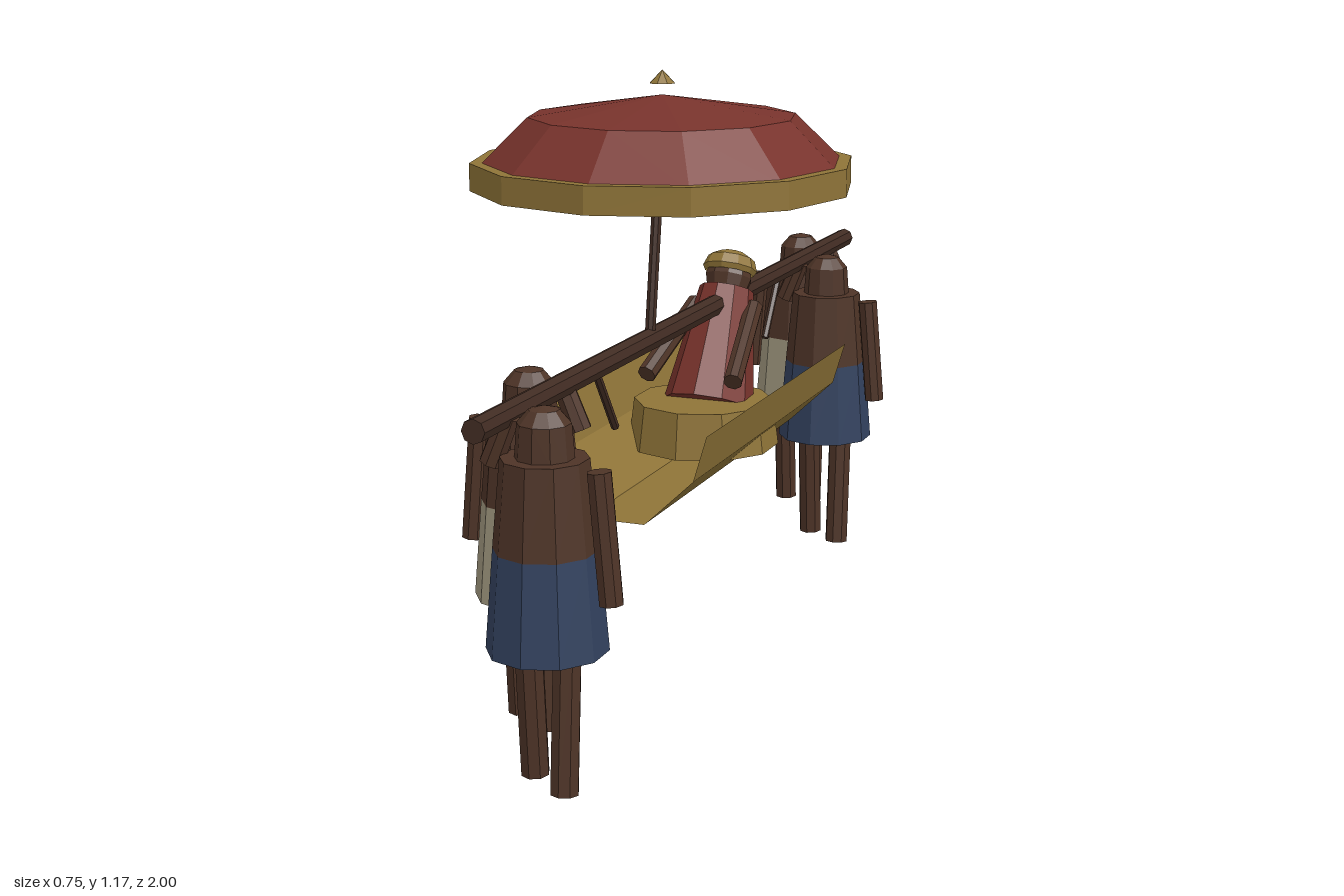
import * as THREE from 'three';

const mat = (color) => new THREE.MeshStandardMaterial({ color, flatShading: true, side: THREE.DoubleSide });
const skin = mat(0x4e3427), wood = mat(0x412c23), red = mat(0x78332c), gold = mat(0x8f7438);
const blue = mat(0x33425f), beige = mat(0xa0977f);

function add(parent, name, geometry, material, x = 0, y = 0, z = 0) {
  const mesh = new THREE.Mesh(geometry, material);
  mesh.name = name;
  mesh.position.set(x, y, z);
  parent.add(mesh);
  return mesh;
}

// Tapered rod between two points
function rod(parent, name, from, to, r0, r1, sides, material) {
  const a = new THREE.Vector3(...from), b = new THREE.Vector3(...to);
  const dir = b.clone().sub(a);
  const mesh = add(parent, name, new THREE.CylinderGeometry(r1, r0, dir.length(), sides), material);
  mesh.position.copy(a).add(b).multiplyScalar(0.5);
  mesh.quaternion.setFromUnitVectors(new THREE.Vector3(0, 1, 0), dir.normalize());
  return mesh;
}

const lathe = (points, sides) =>
  new THREE.LatheGeometry(points.map(([r, y]) => new THREE.Vector2(r, y)), sides);

// Bearer; side is +1 or -1, the direction of the outer arm
function bearer(side, cloth) {
  const g = new THREE.Group();
  g.name = 'bearer';
  add(g, 'torso', new THREE.CylinderGeometry(0.077, 0.092, 0.16, 10), skin, 0, 0.51, 0);
  add(g, 'wrapSkirt', new THREE.CylinderGeometry(0.092, 0.107, 0.18, 10), cloth, 0, 0.34, 0);
  add(g, 'head', lathe([[0.052, 0.585], [0.047, 0.65], [0.027, 0.673], [0, 0.68]], 10), skin);
  for (const s of [-1, 1]) {
    rod(g, 'leg', [s * 0.042, 0.003, s * 0.03], [s * 0.042, 0.27, s * 0.01], 0.026, 0.026, 8, skin);
  }
  rod(g, 'hangingArm', [side * 0.12, 0.345, 0], [side * 0.1, 0.575, 0], 0.022, 0.022, 8, skin);
  rod(g, 'raisedArm', [-side * 0.1, 0.57, 0], [-side * 0.065, 0.655, 0], 0.022, 0.02, 8, skin);
  return g;
}

// Open trough: the cross-section is swept along z
function hammockGeometry() {
  const half = [[0.187, 0.52], [0.16, 0.43], [0.06, 0.335]];
  const profile = [...half, ...half.map(([x, y]) => [-x, y]).reverse()];
  const pos = [], index = [];
  profile.forEach(([x, y], i) => {
    pos.push(x, y, 0.425, x, y, -0.425);
    if (i) {
      const a = 2 * (i - 1);
      index.push(a, a + 2, a + 1, a + 1, a + 2, a + 3);
    }
  });
  const geo = new THREE.BufferGeometry();
  geo.setAttribute('position', new THREE.Float32BufferAttribute(pos, 3));
  geo.setIndex(index);
  geo.computeVertexNormals();
  return geo;
}

function passenger() {
  const g = new THREE.Group();
  g.name = 'passenger';
  add(g, 'lapCushion', new THREE.CylinderGeometry(0.145, 0.157, 0.095, 10), gold, 0, 0.422, -0.04);

  // Upper body leans back
  const upper = new THREE.Group();
  upper.name = 'upperBody';
  upper.position.set(0, 0.45, -0.07);
  upper.rotation.x = -0.44;
  g.add(upper);
  add(upper, 'robe', new THREE.CylinderGeometry(0.058, 0.095, 0.25, 10), red, 0, 0.125, 0);
  add(upper, 'head', new THREE.SphereGeometry(0.051, 10, 6), skin, 0, 0.276, 0);
  add(upper, 'cap', lathe([[0.052, 0.285], [0.058, 0.296], [0.05, 0.318], [0.026, 0.331]], 10), gold);
  for (const s of [-1, 1]) {
    rod(g, 'arm', [s * 0.095, 0.53, 0.04], [s * 0.065, 0.645, -0.165], 0.02, 0.02, 8, skin);
  }
  return g;
}

function parasol() {
  const g = new THREE.Group();
  g.name = 'parasol';
  rod(g, 'parasolStick', [0, 0.645, 0.25], [0, 1.1, 0.18], 0.011, 0.011, 8, wood);
  add(g, 'canopy', lathe([[0.36, 0.99], [0.262, 1.085], [0, 1.125]], 12), red, 0, 0, 0.18);
  add(g, 'canopyRim', new THREE.CylinderGeometry(0.375, 0.375, 0.054, 12), gold, 0, 0.972, 0.18);
  add(g, 'finial', new THREE.ConeGeometry(0.026, 0.026, 8), gold, 0, 1.16, 0.18);
  return g;
}

export function createModel() {
  const model = new THREE.Group();
  model.name = 'hammockLitter';

  rod(model, 'carryingPole', [0, 0.655, -1], [0, 0.655, 1], 0.022, 0.022, 8, wood);
  add(model, 'hammock', hammockGeometry(), gold);
  for (const s of [-1, 1]) {
    rod(model, 'hammockRope', [0, 0.52, s * 0.42], [0, 0.65, s * 0.51], 0.008, 0.008, 6, wood);
  }

  // Bearers alternate sides of the pole
  for (const [side, z] of [[1, 0.885], [-1, 0.635], [1, -0.635], [-1, -0.885]]) {
    const b = bearer(side, side > 0 ? blue : beige);
    b.position.set(side * 0.074, 0, z);
    model.add(b);
  }

  model.add(passenger(), parasol());
  return model;
}
